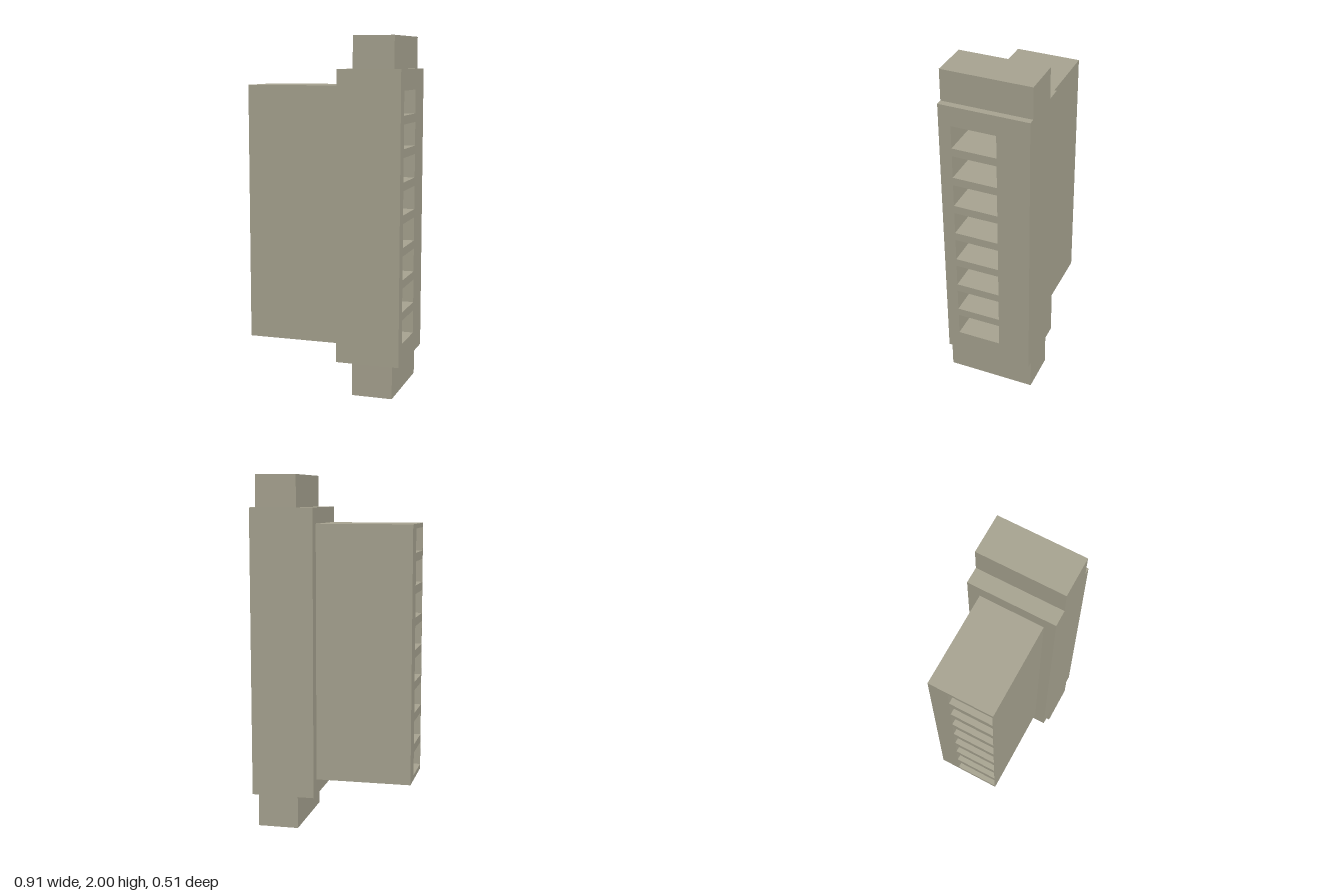
import * as THREE from 'three';

const SLOT = { count: 8, firstY: 0.368, pitch: 0.1814, height: 0.134, back: -0.07, front: 0.185 };

// Counter-clockwise rectangle; the shape's x axis is the model's -z
function trace(path, z0, z1, y0, y1) {
  path.moveTo(-z1, y0);
  path.lineTo(-z0, y0);
  path.lineTo(-z0, y1);
  path.lineTo(-z1, y1);
  path.closePath();
  return path;
}

// Block running along x, pierced by the column of rectangular slots
function slottedBlock(x0, x1, z0, z1, y0, y1) {
  const shape = trace(new THREE.Shape(), z0, z1, y0, y1);
  for (let i = 0; i < SLOT.count; i++) {
    const y = SLOT.firstY + i * SLOT.pitch;
    shape.holes.push(trace(new THREE.Path(), SLOT.back, SLOT.front, y - SLOT.height / 2, y + SLOT.height / 2));
  }
  const geometry = new THREE.ExtrudeGeometry(shape, { depth: x1 - x0, bevelEnabled: false });
  geometry.rotateY(Math.PI / 2);
  geometry.translate(x0, 0, 0);
  return geometry;
}

export function createModel() {
  const model = new THREE.Group();
  model.name = 'connectorHousing';
  const plastic = new THREE.MeshStandardMaterial({ name: 'warm grey plastic', color: 0xa9a592 });

  const add = (name, geometry) => {
    const mesh = new THREE.Mesh(geometry, plastic);
    mesh.name = name;
    model.add(mesh);
    return mesh;
  };

  // Narrow plug body and the wider flange, sharing the through slots
  add('plugBody', slottedBlock(-0.454, 0.09, -0.184, 0.189, 0.274, 1.73));
  add('flange', slottedBlock(0.09, 0.452, -0.255, 0.255, 0.183, 1.82));

  // Mounting ears at both ends of the flange
  for (const [name, y0, y1] of [['lowerEar', 0, 0.183], ['upperEar', 1.82, 2]]) {
    add(name, new THREE.BoxGeometry(0.232, y1 - y0, 0.51)).position.set(0.299, (y0 + y1) / 2, 0);
  }
  return model;
}
